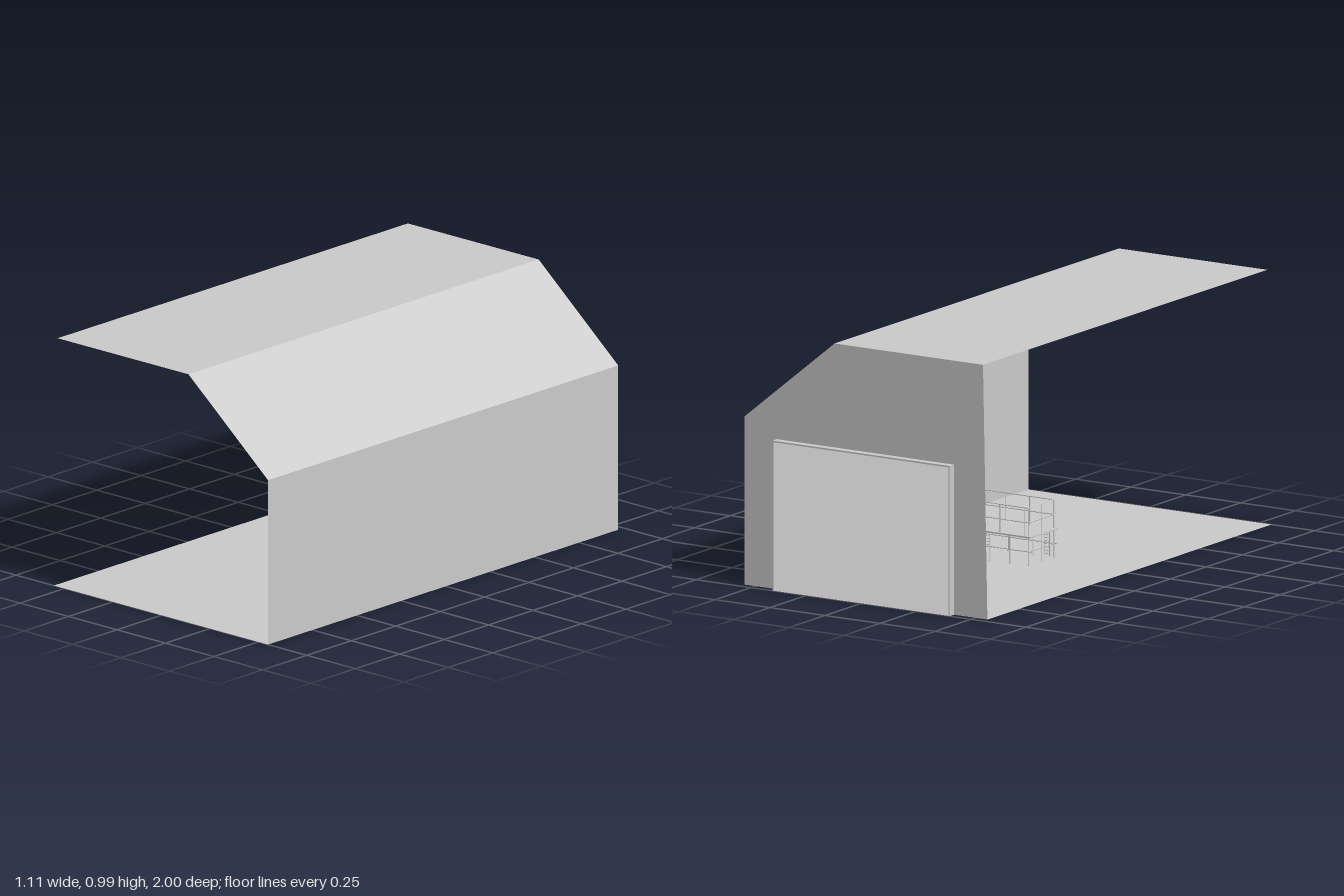
import * as THREE from 'three';

const grey = new THREE.MeshStandardMaterial({ color: 0xcccccc, flatShading: true, side: THREE.DoubleSide });

function add(parent, name, geometry, x = 0, y = 0, z = 0) {
  const mesh = new THREE.Mesh(geometry, grey);
  mesh.name = name;
  mesh.position.set(x, y, z);
  parent.add(mesh);
  return mesh;
}

function group(parent, name) {
  const g = new THREE.Group();
  g.name = name;
  parent.add(g);
  return g;
}

// box given by its minimum and maximum corners
function block(parent, name, a, b) {
  const s = a.map((v, i) => b[i] - v);
  return add(parent, name, new THREE.BoxGeometry(...s), ...a.map((v, i) => v + s[i] / 2));
}

// thin round bar between two points
function bar(parent, name, a, b, r = 0.0022) {
  const p = new THREE.Vector3(...a), q = new THREE.Vector3(...b);
  const mesh = add(parent, name, new THREE.CylinderGeometry(r, r, p.distanceTo(q), 6));
  mesh.position.copy(p).add(q).multiplyScalar(0.5);
  mesh.quaternion.setFromUnitVectors(new THREE.Vector3(0, 1, 0), q.sub(p).normalize());
  return mesh;
}

// flat sheet running the length of the hall between two section points
function sheet(parent, name, [x0, y0], [x1, y1]) {
  const g = new THREE.BufferGeometry();
  g.setAttribute('position', new THREE.Float32BufferAttribute(
    [x0, y0, 1, x0, y0, BACK, x1, y1, BACK, x1, y1, 1], 3));
  g.setIndex([0, 2, 1, 0, 3, 2]);
  g.computeVertexNormals();
  return add(parent, name, g);
}

const BACK = -0.97, DECK = 0.112, MID = 0.168, TOP = 0.225;
const DOOR_W = 0.403, DOOR_H = 0.585;

function buildShell(root) {
  const shell = group(root, 'hallShell');
  const section = [[-0.555, 0], [0.55, 0], [0.55, 0.655], [0.14, 0.99], [-0.535, 0.99]];
  ['floor', 'rightSideWall', 'slopedRoof', 'flatRoof'].forEach((name, i) =>
    sheet(shell, name, section[i], section[i + 1]));
  // end wall with the door opening
  const wall = new THREE.Shape(section.map(p => new THREE.Vector2(...p)));
  wall.holes.push(new THREE.Path([
    [-DOOR_W, 0.0005], [-DOOR_W, DOOR_H], [DOOR_W, DOOR_H], [DOOR_W, 0.0005],
  ].map(p => new THREE.Vector2(...p))));
  add(shell, 'endWall', new THREE.ShapeGeometry(wall), 0, 0, BACK);
}

function buildDoor(root) {
  const door = group(root, 'rollerDoor');
  // sawtooth slats, extruded across the opening
  const n = 27, pitch = DOOR_H / n, outer = [], inner = [];
  for (let i = 0; i < n; i++) {
    const y = i * pitch;
    for (const [u, v] of [[0.998, y], [0.984, y + pitch * 0.85]]) {
      outer.push(new THREE.Vector2(u, v));
      inner.unshift(new THREE.Vector2(u - 0.01, v));
    }
  }
  const slats = new THREE.ExtrudeGeometry(new THREE.Shape([...outer, ...inner]),
    { depth: 2 * DOOR_W - 0.012, bevelEnabled: false });
  slats.rotateY(Math.PI / 2);
  add(door, 'doorSlats', slats, -DOOR_W + 0.006);
  // guides at both sides and a header
  for (const s of [-1, 1]) {
    const x = s * (DOOR_W - 0.003);
    block(door, 'doorGuide', [x - 0.003, 0, -1], [x + 0.003, DOOR_H, BACK]);
  }
  block(door, 'doorHeader', [-DOOR_W, DOOR_H - 0.006, -1], [DOOR_W, DOOR_H, BACK]);
}

function ladder(parent, x, z, height) {
  const l = group(parent, 'ladder');
  for (const s of [-1, 1]) bar(l, 'ladderRail', [x + s * 0.012, 0, z], [x + s * 0.012, height, z]);
  for (let y = 0.01; y < height; y += 0.012)
    bar(l, 'rung', [x - 0.012, y, z], [x + 0.012, y, z], 0.0015);
}

function buildPlatform(root) {
  const p = group(root, 'centrePlatform');
  const x = 0.176, front = 0.07, back = -0.107;
  block(p, 'platformDeck', [-0.188, DECK - 0.003, back - 0.008], [0.188, DECK + 0.003, front + 0.008]);
  // legs, braces, guard posts and rails on the long sides
  const sides = [
    { z: front, legs: [-x, -0.08, 0.03, 0.115, x], posts: [-x, -0.065, 0.045, x] },
    { z: back, legs: [-x, -0.092, 0, 0.092, x], posts: [-0.157, -0.047, 0.065, 0.157, x, -x] },
  ];
  for (const { z, legs, posts } of sides) {
    for (const lx of legs) {
      bar(p, 'leg', [lx, 0, z], [lx, DECK, z]);
      add(p, 'foot', new THREE.CylinderGeometry(0.005, 0.005, 0.003, 8), lx, 0.0015, z);
    }
    for (const px of posts) bar(p, 'guardPost', [px, DECK, z], [px, TOP, z]);
    for (const y of [MID, TOP]) bar(p, 'guardRail', [-x, y, z], [x, y, z]);
    bar(p, 'legBrace', [-0.19, 0.055, z], [0.19, 0.055, z]);
  }
  // end rails and braces
  for (const s of [-1, 1]) {
    for (const y of [0.055, MID, TOP]) bar(p, 'endRail', [s * x, y, back], [s * x, y, front]);
    const zc = (front + back) / 2;
    bar(p, 'endPost', [s * x, 0, zc], [s * x, TOP, zc]);
    ladder(p, s * 0.136, front + 0.012, DECK);
  }
}

// upright loop standing across the gallery
function hoop(parent, y, z) {
  const shape = new THREE.Shape([[0.468, 0], [0.515, 0], [0.515, 0.05], [0.468, 0.05]]
    .map(p => new THREE.Vector2(...p)));
  shape.holes.push(new THREE.Path([[0.475, 0.002], [0.475, 0.038], [0.508, 0.038], [0.508, 0.002]]
    .map(p => new THREE.Vector2(...p))));
  add(parent, 'hoop', new THREE.ExtrudeGeometry(shape, { depth: 0.006, bevelEnabled: false }), 0, y, z);
}

function buildGallery(root) {
  const g = group(root, 'sideGallery');
  const x0 = 0.45, x1 = 0.541, z0 = -0.637, z1 = 0.112, bays = 6;
  block(g, 'galleryDeck', [x0 - 0.004, DECK - 0.003, z0 - 0.004], [0.545, DECK + 0.003, z1 + 0.004]);
  for (let i = 0; i <= bays; i++) {
    const z = z0 + (z1 - z0) * i / bays;
    bar(g, 'galleryPost', [x0, 0, z], [x0, TOP, z]);
    bar(g, 'galleryWallPost', [x1, 0, z], [x1, TOP, z]);
  }
  for (const y of [MID, TOP]) {
    bar(g, 'galleryRail', [x0, y, z0], [x0, y, z1]);
    for (const z of [z0, z1]) bar(g, 'galleryEndRail', [x0 - 0.005, y, z], [0.548, y, z]);
  }
  hoop(g, DECK + 0.003, z1 - 0.02);
  hoop(g, TOP, z0);
}

export function createModel() {
  const root = new THREE.Group();
  root.name = 'openHall';
  buildShell(root);
  buildDoor(root);
  buildPlatform(root);
  buildGallery(root);
  return root;
}
